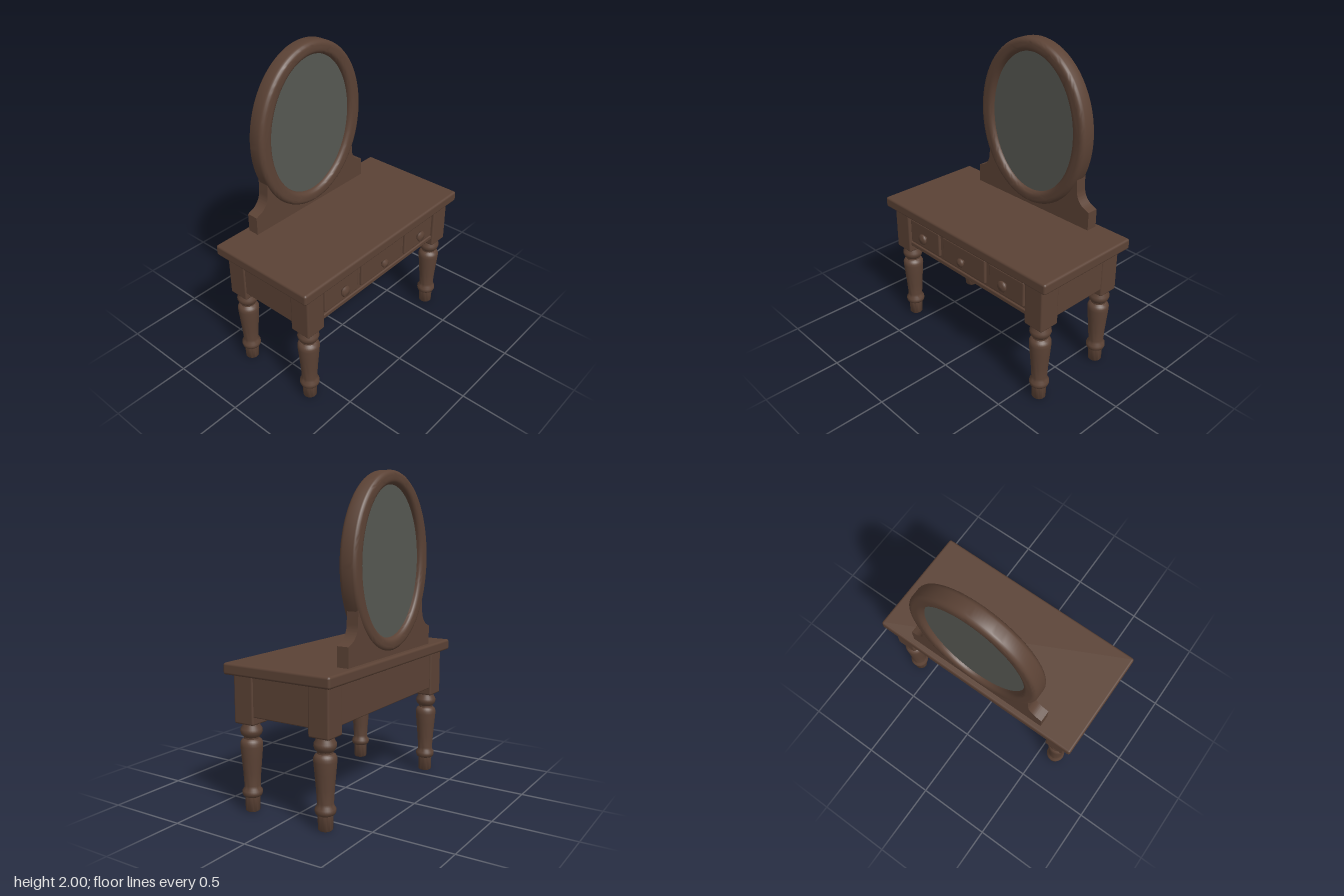
import * as THREE from 'three';
import { toCreasedNormals } from 'three/addons/utils/BufferGeometryUtils.js';
import { RoundedBoxGeometry } from 'three/addons/geometries/RoundedBoxGeometry.js';

const wood = new THREE.MeshStandardMaterial({ color: 0x5b4235 });
wood.name = 'walnut wood';
const glass = new THREE.MeshStandardMaterial({ color: 0x565852 });
glass.name = 'mirror glass';

export function createModel() {
  const model = new THREE.Group();
  model.name = 'dressingTable';

  const add = (name, geometry, material = wood, x = 0, y = 0, z = 0) => {
    const mesh = new THREE.Mesh(geometry, material);
    mesh.name = name;
    mesh.position.set(x, y, z);
    model.add(mesh);
    return mesh;
  };
  // Softened box given by its two extreme corners
  const box = (name, [x0, x1], [y0, y1], [z0, z1], r = 0.008) =>
    add(name, new RoundedBoxGeometry(x1 - x0, y1 - y0, z1 - z0, 2, r), wood,
      (x0 + x1) / 2, (y0 + y1) / 2, (z0 + z1) / 2);

  // Table top
  box('tableTop', [-0.73, 0.73], [0.835, 0.905], [-0.37, 0.37], 0.015);

  // Turned legs below square corner blocks
  const profile = [
    [0, 0], [0.038, 0], [0.043, 0.006], [0.045, 0.09], [0.056, 0.097], [0.061, 0.112],
    [0.06, 0.128], [0.05, 0.142], [0.048, 0.16], [0.053, 0.24], [0.061, 0.33], [0.067, 0.4],
    [0.067, 0.42], [0.06, 0.436], [0.046, 0.446], [0.046, 0.456], [0.06, 0.472], [0.066, 0.49],
    [0.064, 0.506], [0.054, 0.522], [0.05, 0.545],
  ].map(([r, y]) => new THREE.Vector2(r, y));
  const legGeometry = toCreasedNormals(new THREE.LatheGeometry(profile, 32), 0.7);
  for (const sx of [-1, 1]) {
    for (const z of [0.265, -0.26]) {
      add('turnedLeg', legGeometry, wood, sx * 0.61, 0, z);
      box('legBlock', [sx * 0.61 - 0.07, sx * 0.61 + 0.07], [0.54, 0.84], [z - 0.07, z + 0.07], 0.012);
    }
    box('sideApron', sx > 0 ? [0.63, 0.672] : [-0.672, -0.63], [0.59, 0.84], [-0.24, 0.24]);
  }

  // Back and front aprons, open underneath
  box('backApron', [-0.58, 0.58], [0.59, 0.84], [-0.318, -0.28]);
  box('frontApron', [-0.58, 0.58], [0.59, 0.84], [0.275, 0.312]);
  box('frontBottomRail', [-0.55, 0.55], [0.59, 0.622], [0.28, 0.322]);
  for (const sx of [-1, 1]) {
    box('drawerDivider', [sx * 0.215 - 0.01, sx * 0.215 + 0.01], [0.64, 0.84], [-0.1, 0.29], 0.004);
  }

  // Drawer fronts with round knobs
  const knobProfile = [[0.016, 0], [0.016, 0.012], [0.033, 0.018], [0.036, 0.028], [0.028, 0.038], [0, 0.043]]
    .map(([r, y]) => new THREE.Vector2(r, y));
  const knobGeometry = new THREE.LatheGeometry(knobProfile, 24);
  knobGeometry.rotateX(Math.PI / 2);
  for (const [x, half, size] of [[-0.38, 0.147, 1], [0, 0.198, 0.8], [0.38, 0.147, 1]]) {
    box('drawerFront', [x - half, x + half], [0.638, 0.805], [0.295, 0.328], 0.01);
    const knob = add('drawerKnob', knobGeometry, wood, x * 0.98, x ? 0.72 : 0.712, 0.325);
    knob.scale.set(size, size, 1);
  }

  // Oval mirror frame with rounded edges
  const bevel = 0.03;
  const cy = 1.465;
  const oval = new THREE.Shape();
  oval.absellipse(0, cy, 0.44 - bevel, 0.535 - bevel, 0, Math.PI * 2);
  const hole = new THREE.Path();
  hole.absellipse(0, cy, 0.345 + bevel, 0.452 + bevel, 0, Math.PI * 2, true);
  oval.holes.push(hole);
  const frame = new THREE.ExtrudeGeometry(oval, {
    depth: 0.115 - 2 * bevel, bevelEnabled: true, bevelSize: bevel,
    bevelThickness: bevel, bevelSegments: 5, curveSegments: 64,
  });
  add('mirrorFrame', toCreasedNormals(frame, 0.7), wood, 0, 0, -0.345 + bevel);

  // Mirror glass, visible on both faces
  const pane = new THREE.Shape();
  pane.absellipse(0, cy, 0.36, 0.467, 0, Math.PI * 2);
  add('mirrorGlass', new THREE.ExtrudeGeometry(pane, { depth: 0.05, bevelEnabled: false, curveSegments: 48 }),
    glass, 0, 0, -0.3125);

  // Scrolled bracket cradling the mirror
  const bracket = new THREE.Shape();
  bracket.moveTo(-0.49, 0.9);
  bracket.lineTo(0.49, 0.9);
  bracket.lineTo(0.49, 1.025);
  bracket.lineTo(0.465, 1.035);
  bracket.bezierCurveTo(0.42, 1.05, 0.39, 1.09, 0.39, 1.14);
  bracket.lineTo(0.385, 1.225);
  bracket.lineTo(0.35, 1.235);
  bracket.absellipse(0, cy, 0.395, 0.495, -0.48, Math.PI + 0.48, true);
  bracket.lineTo(-0.385, 1.225);
  bracket.lineTo(-0.39, 1.14);
  bracket.bezierCurveTo(-0.39, 1.09, -0.42, 1.05, -0.465, 1.035);
  bracket.lineTo(-0.49, 1.025);
  const bracketGeometry = new THREE.ExtrudeGeometry(bracket, { depth: 0.075, bevelEnabled: false, curveSegments: 32 });
  add('mirrorBracket', toCreasedNormals(bracketGeometry, 0.6), wood, 0, 0, -0.333);

  return model;
}
